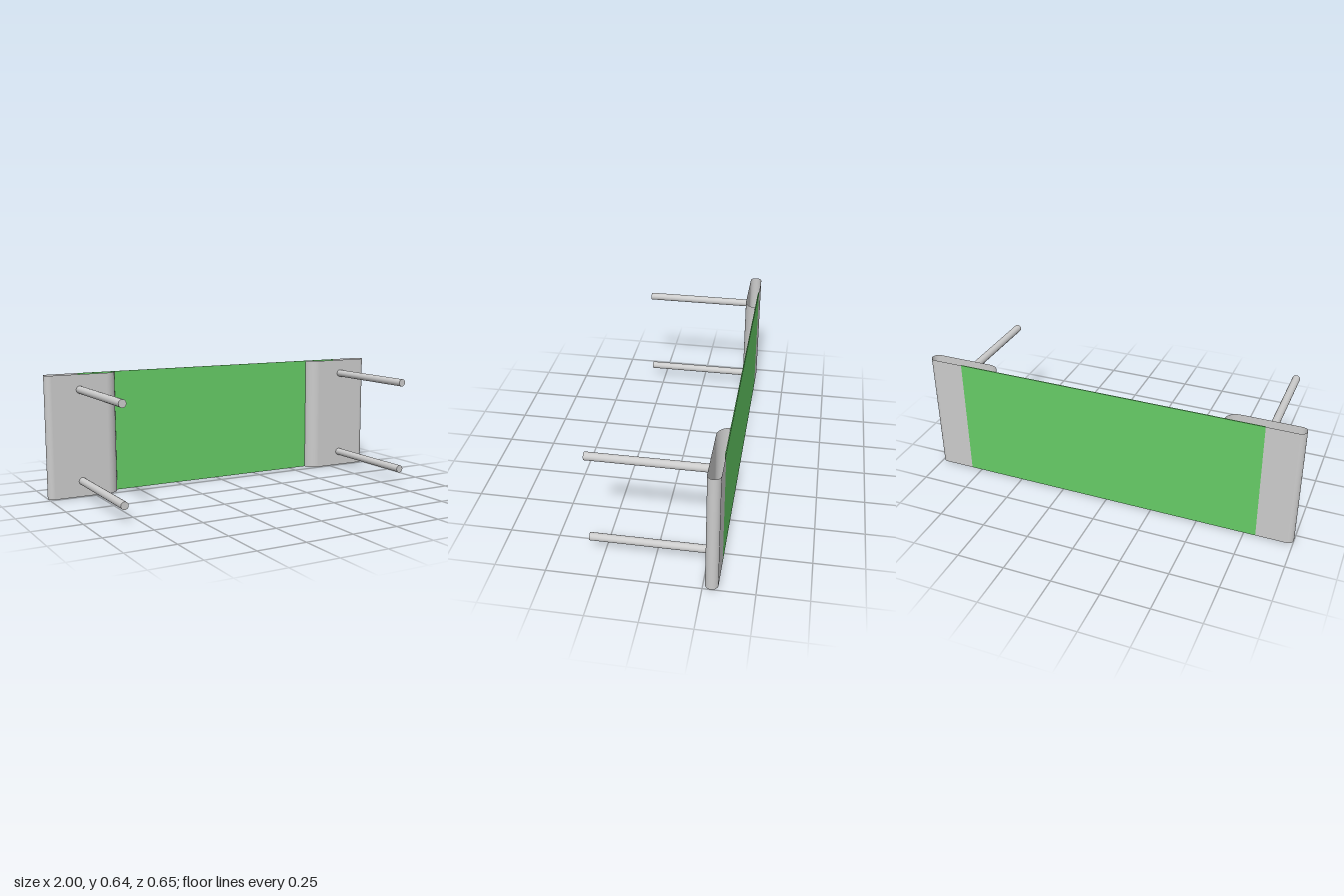
import * as THREE from 'three';

const H = 0.645, BACK = -0.323, FRONT = -0.26, DEPTH = FRONT - BACK;
const grey = new THREE.MeshStandardMaterial({ color: 0xcccccc });
const sheet = new THREE.MeshStandardMaterial({ color: 0xcccccc, side: THREE.DoubleSide });
const green = new THREE.MeshStandardMaterial({ color: 0x66cc66 });

// points [x, z] on an arc, angles in radians
function arc(cx, cz, r, from, to, steps) {
  return Array.from({ length: steps + 1 }, (_, i) => {
    const a = from + (to - from) * i / steps;
    return [cx + r * Math.cos(a), cz + r * Math.sin(a)];
  });
}

// open sheet that follows a plan outline and rises to full height
function bentSheet(path, side) {
  const geo = new THREE.PlaneGeometry(1, H, path.length - 1, 1);
  const pos = geo.attributes.position;
  for (let i = 0; i < pos.count; i++) {
    const [x, z] = path[i % path.length];
    pos.setXYZ(i, side * x, pos.getY(i) + H / 2, z);
  }
  geo.computeVertexNormals();
  return geo;
}

export function createModel() {
  const model = new THREE.Group();
  const add = (name, geo, mat, x = 0, y = 0, z = 0) => {
    const mesh = new THREE.Mesh(geo, mat);
    mesh.name = name;
    mesh.position.set(x, y, z);
    model.add(mesh);
  };

  // thin flat panel across the back
  add('panel', new THREE.BoxGeometry(1.62, H, 0.005), green, 0, H / 2, BACK + 0.0025);

  // bracket outline: back flange, rounded outer end, front face, inner curl
  const r = DEPTH / 2;
  const outline = [
    [0.81, BACK],
    ...arc(1 - r, BACK + r, r, -Math.PI / 2, Math.PI / 2, 16),
    ...arc(0.61 + DEPTH, BACK, DEPTH, Math.PI / 2, Math.PI, 12),
  ];

  // two rods reaching forward from each bracket
  const rod = new THREE.CylinderGeometry(0.02, 0.02, 0.323 - FRONT, 32);
  rod.rotateX(Math.PI / 2);
  const rodZ = (0.323 + FRONT) / 2;
  for (const side of [-1, 1]) {
    const label = side > 0 ? 'left' : 'right';
    add(label + 'Bracket', bentSheet(outline, side), sheet);
    add(label + 'LowerRod', rod, grey, side * 0.82, 0.082, rodZ);
    add(label + 'UpperRod', rod, grey, side * 0.82, 0.565, rodZ);
  }
  return model;
}
